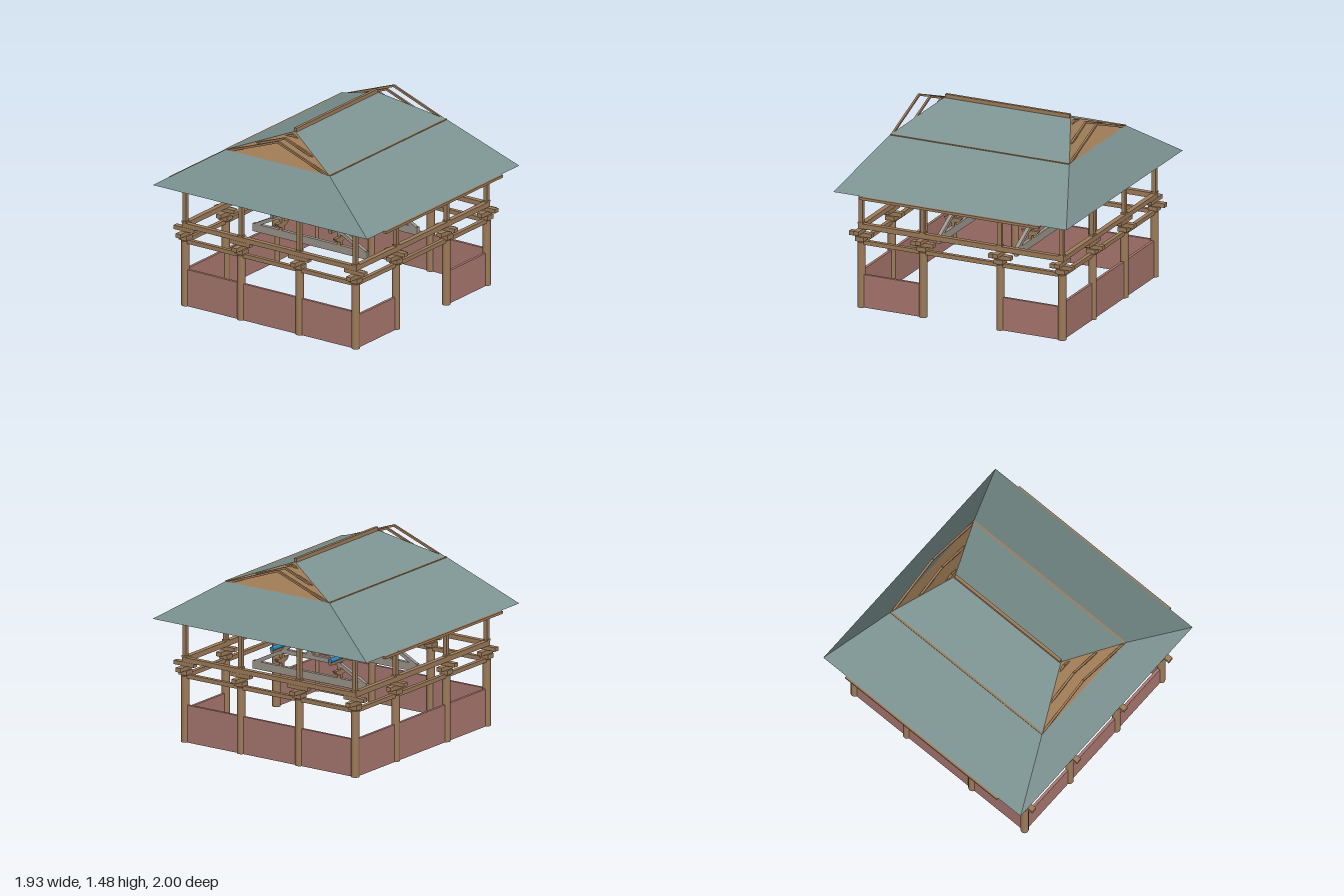
import * as THREE from 'three';

const material = (name, color, side = THREE.FrontSide) => {
  const m = new THREE.MeshStandardMaterial({ color, side });
  m.name = name;
  return m;
};

export function createModel() {
  const root = new THREE.Group();
  root.name = 'pavilion';
  const wood = material('timber brown', 0x9e7c5a);
  const gable = material('gable brown', 0x9e7a55, THREE.DoubleSide);
  const clay = material('wall red', 0xa9786f);
  const tile = material('roof teal', 0x7d9492, THREE.DoubleSide);
  const stone = material('truss grey', 0x9c968c);
  const blue = material('purlin blue', 0x2b86bc);

  const group = (name) => {
    const g = new THREE.Group();
    g.name = name;
    root.add(g);
    return g;
  };
  const add = (parent, name, geometry, mat, x = 0, y = 0, z = 0) => {
    const m = new THREE.Mesh(geometry, mat);
    m.name = name;
    m.position.set(x, y, z);
    parent.add(m);
    return m;
  };
  // Box given by its ranges along x, y and z
  const box = (parent, name, mat, [x0, x1], [y0, y1], [z0, z1]) =>
    add(parent, name, new THREE.BoxGeometry(x1 - x0, y1 - y0, z1 - z0), mat,
      (x0 + x1) / 2, (y0 + y1) / 2, (z0 + z1) / 2);
  const around = (c, half) => [c - half, c + half];
  // Rectangular bar between two points
  const bar = (parent, name, mat, a, b, w, h) => {
    const p = new THREE.Vector3(...a), q = new THREE.Vector3(...b);
    const m = add(parent, name, new THREE.BoxGeometry(w, h, p.distanceTo(q)), mat);
    m.position.copy(p).lerp(q, 0.5);
    m.lookAt(q);
    return m;
  };
  // Flat polygon as a fan of triangles
  const sheet = (parent, name, mat, points) => {
    const out = [];
    for (let i = 1; i < points.length - 1; i++) out.push(...points[0], ...points[i], ...points[i + 1]);
    const g = new THREE.BufferGeometry();
    g.setAttribute('position', new THREE.Float32BufferAttribute(out, 3));
    g.computeVertexNormals();
    return add(parent, name, g, mat);
  };

  const X = 0.832, XI = 0.32, Z = 0.782, ZI = 0.268;

  // Columns, bracket sets and upper posts around the perimeter
  const frame = group('frame');
  const columnGeo = new THREE.CylinderGeometry(0.031, 0.031, 0.515, 20);
  for (const x of [-X, -XI, XI, X]) for (const z of [-Z, -ZI, ZI, Z]) {
    if (Math.abs(x) < X && Math.abs(z) < Z) continue;
    add(frame, 'column', columnGeo, wood, x, 0.2575, z);
    box(frame, 'capital', wood, around(x, 0.037), [0.525, 0.56], around(z, 0.037));
    box(frame, 'bracketArmAcross', wood, around(x, 0.093), [0.56, 0.592], around(z, 0.022));
    box(frame, 'bracketArmDeep', wood, around(x, 0.022), [0.592, 0.622], around(z, 0.093));
    box(frame, 'upperPost', wood, around(x, 0.016), [0.622, 0.932], around(z, 0.016));
    box(frame, 'postFoot', wood, around(x, 0.021), [0.66, 0.672], around(z, 0.021));
  }

  // Two rings of tie beams
  for (const s of [-1, 1]) {
    box(frame, 'lowerTieBeam', wood, [-X, X], [0.498, 0.53], around(s * Z, 0.016));
    box(frame, 'lowerTieBeam', wood, around(s * X, 0.016), [0.498, 0.53], [-Z, Z]);
    box(frame, 'upperTieBeam', wood, [-X - 0.016, X + 0.016], [0.622, 0.662], around(s * Z, 0.02));
    box(frame, 'upperTieBeam', wood, around(s * X, 0.02), [0.622, 0.658], [-Z - 0.016, Z + 0.016]);
  }

  // Low walls, with the middle bay of the front left open
  const walls = group('walls');
  box(walls, 'backWall', clay, [-X, X], [0, 0.29], around(-Z, 0.011));
  for (const s of [-1, 1]) {
    box(walls, 'sideWall', clay, around(s * X, 0.011), [0, 0.29], [-Z, Z]);
    box(walls, 'frontWall', clay, around(s * (X + XI) / 2, (X - XI) / 2), [0, 0.26], around(Z, 0.011));
  }

  // Boat-shaped bracket lying along x
  const boatShape = new THREE.Shape();
  boatShape.moveTo(0.072, 0);
  boatShape.quadraticCurveTo(0.06, -0.034, 0.02, -0.036);
  boatShape.lineTo(-0.02, -0.036);
  boatShape.quadraticCurveTo(-0.06, -0.034, -0.072, 0);
  const boatGeo = new THREE.ExtrudeGeometry(boatShape, { depth: 0.03, bevelEnabled: false });
  boatGeo.translate(0, 0, -0.015);

  // Two stacked trusses on each inner line
  const trusses = group('trusses');
  for (const x of [-XI, XI]) {
    const t = 0.03;
    box(trusses, 'lowerTrussBeam', stone, around(x, t / 2), [0.495, 0.556], [-0.525, 0.525]);
    box(trusses, 'upperTrussBeam', stone, around(x, t / 2), [0.658, 0.692], [-0.255, 0.255]);
    box(trusses, 'kingPost', stone, around(x, t / 2), [0.69, 0.865], [-0.016, 0.016]);
    bar(trusses, 'kingPostFoot', stone, [x, 0.7, -0.03], [x, 0.7, 0.03], t, 0.02);
    add(trusses, 'upperBoatBracket', boatGeo, stone, x, 0.845, 0);
    box(trusses, 'ridgePurlinBearer', wood, around(Math.sign(x) * 0.323, 0.124), [0.86, 0.878], [-0.012, 0.012]);
    for (const s of [-1, 1]) {
      bar(trusses, 'lowerBrace', stone, [x, 0.545, s * 0.505], [x, 0.675, s * 0.25], t, 0.028);
      bar(trusses, 'upperBrace', stone, [x, 0.69, s * 0.24], [x, 0.855, s * 0.005], t, 0.03);
      box(trusses, 'purlinPost', wood, around(x, 0.015), [0.55, 0.68], around(s * ZI, 0.015));
      add(trusses, 'lowerBoatBracket', boatGeo, wood, x, 0.622, s * ZI);
      box(trusses, 'purlinBearer', wood, around(Math.sign(x) * 0.323, 0.124), [0.682, 0.702], around(s * ZI, 0.012));
    }
  }

  // Round blue purlins
  const purlinGeo = new THREE.CylinderGeometry(0.017, 0.017, 0.894, 16);
  purlinGeo.rotateZ(Math.PI / 2);
  for (const [y, z] of [[0.891, 0], [0.716, ZI], [0.716, -ZI]])
    add(trusses, 'purlin', purlinGeo, blue, 0, y, z);

  // Roof planes: eave, break and ridge corners
  const roof = group('roof');
  const EX = 0.966, EY = 0.95, EZ = 0.985, BX = 0.743, BY = 1.276, BZ = 0.478, RX = 0.52, RY = 1.458;
  for (const s of [-1, 1]) {
    sheet(roof, 'lowerSlope', tile,
      [[-s * EX, EY, s * EZ], [s * EX, EY, s * EZ], [s * BX, BY, s * BZ], [-s * BX, BY, s * BZ]]);
    sheet(roof, 'upperSlope', tile,
      [[-s * BX, BY, s * BZ], [s * BX, BY, s * BZ], [s * RX, RY, 0], [-s * RX, RY, 0]]);
    sheet(roof, 'hipSlope', tile,
      [[s * EX, EY, s * EZ], [s * EX, EY, -s * EZ], [s * BX, BY, -s * BZ], [s * BX, BY, s * BZ]]);
    sheet(roof, 'gablePanel', gable,
      [[s * BX, BY, s * BZ], [s * BX, BY, -s * BZ], [s * RX, RY, 0]]);
    box(roof, 'eaveBoard', wood, [-BX, BX], [0.927, 0.947], around(s * 0.986, 0.012));
    box(roof, 'breakBoard', wood, [-BX, BX], [1.266, 1.28], around(s * 0.474, 0.008));

    // Bent rafters, the outer ones standing clear of the gables
    for (let i = -8; i <= 8; i++) {
      const x = i * 0.0921;
      bar(roof, 'lowerRafter', wood, [x, 0.937, s * 0.983], [x, 1.262, s * 0.474], 0.016, 0.016);
      bar(roof, 'upperRafter', wood, [x, 1.265, s * 0.474], [x, 1.439, 0], 0.016, 0.016);
    }
  }
  box(roof, 'ridgeBeam', wood, [-0.516, 0.516], [1.448, 1.483], [-0.012, 0.012]);

  return root;
}
